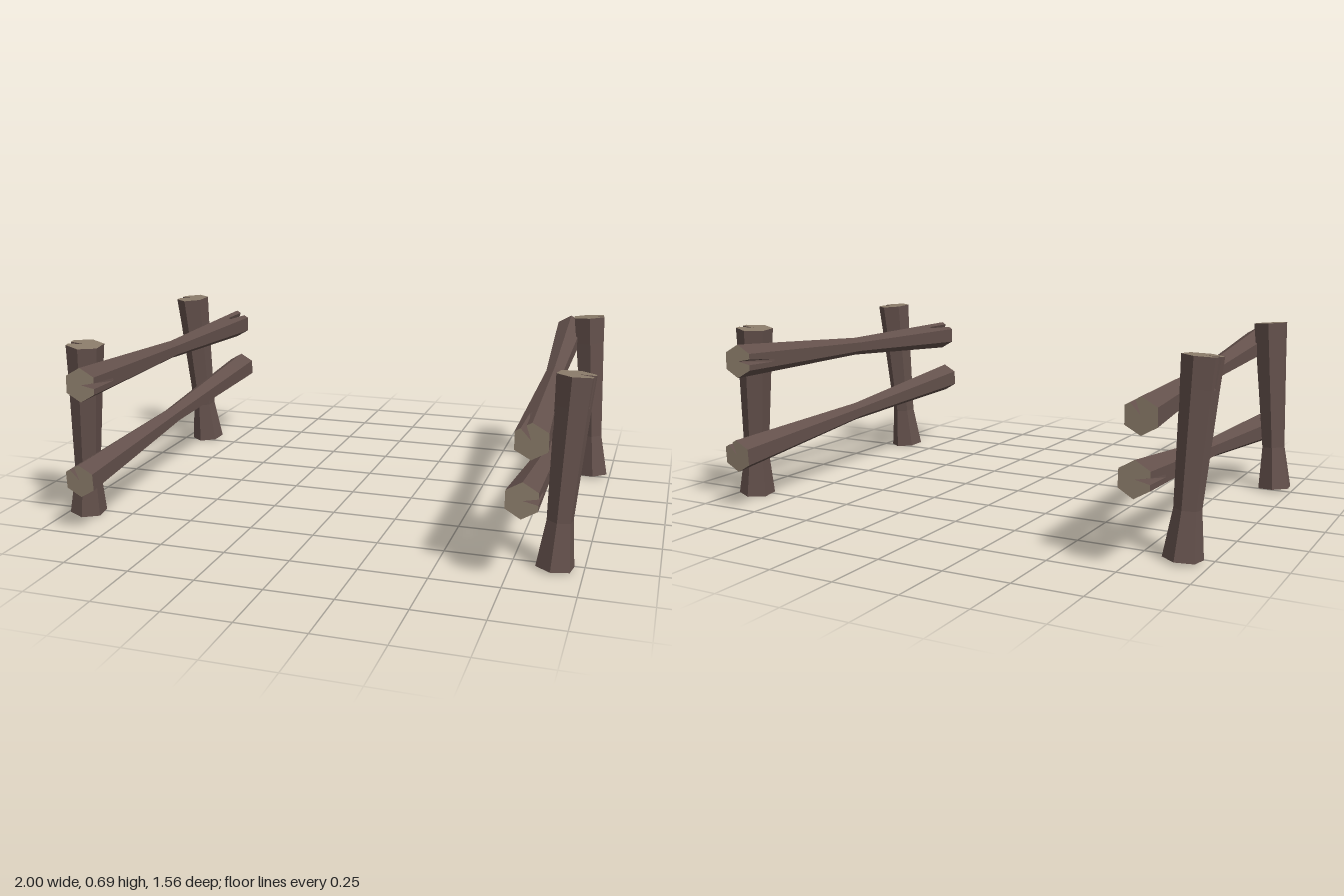
import * as THREE from 'three';

const bark = new THREE.MeshStandardMaterial({ color: 0x64514c, flatShading: true });
bark.name = 'bark';
const cutWood = new THREE.MeshStandardMaterial({ color: 0x8b7c6a, flatShading: true });
cutWood.name = 'cutWood';

const X = new THREE.Vector3(1, 0, 0), Y = new THREE.Vector3(0, 1, 0), Z = new THREE.Vector3(0, 0, 1);

// Hexagonal outline; every split edge gets three extra points, the middle one pulled inwards when open
function outline(radius, phase, splits, open) {
  const corner = i => {
    const a = phase + (i - 0.5) * Math.PI / 3;
    return new THREE.Vector2(Math.cos(a), Math.sin(a)).multiplyScalar(radius);
  };
  const points = [];
  for (let i = 0; i < 6; i++) {
    const a = corner(i), b = corner(i + 1);
    points.push(a);
    if (!splits.includes(i)) continue;
    const middle = a.clone().lerp(b, 0.5);
    if (i === open) middle.multiplyScalar(0.05);
    points.push(a.clone().lerp(b, 0.33), middle, a.clone().lerp(b, 0.67));
  }
  return points;
}

// Waisted log from start to end; stations are [fraction, radius, open split edge]
function log(name, start, end, u, v, phase, stations) {
  const axis = end.clone().sub(start).normalize();
  const splits = stations.map(s => s[2]).filter(s => s !== undefined);
  const flat = stations.map(([, r, open]) => outline(r, phase, splits, open));
  const rings = flat.map((points, i) => points.map(p => {
    const offset = u.clone().multiplyScalar(p.x).addScaledVector(v, p.y);
    offset.addScaledVector(axis, -offset.dot(axis));
    return start.clone().lerp(end, stations[i][0]).add(offset);
  }));
  const pos = [];
  const tri = (...corners) => corners.forEach(c => pos.push(c.x, c.y, c.z));

  // Bark sides
  const n = rings[0].length, last = rings.length - 1;
  for (let i = 0; i < last; i++) {
    for (let j = 0; j < n; j++) {
      const k = (j + 1) % n;
      tri(rings[i][j], rings[i][k], rings[i + 1][k]);
      tri(rings[i][j], rings[i + 1][k], rings[i + 1][j]);
    }
  }
  const sideCount = pos.length / 3;

  // Sawn ends
  for (const [a, b, c] of THREE.ShapeUtils.triangulateShape(flat[0], [])) {
    tri(rings[0][c], rings[0][b], rings[0][a]);
  }
  for (const [a, b, c] of THREE.ShapeUtils.triangulateShape(flat[last], [])) {
    tri(rings[last][a], rings[last][b], rings[last][c]);
  }

  const geometry = new THREE.BufferGeometry();
  geometry.setAttribute('position', new THREE.Float32BufferAttribute(pos, 3));
  geometry.addGroup(0, sideCount, 0);
  geometry.addGroup(sideCount, pos.length / 3 - sideCount, 1);
  geometry.computeVertexNormals();
  const mesh = new THREE.Mesh(geometry, [bark, cutWood]);
  mesh.name = name;
  return mesh;
}

// Upright post, split at the top on its outer side
function post(name, x0, z0, x1, z1, twist) {
  return log(name, new THREE.Vector3(x0, 0.004, z0), new THREE.Vector3(x1, 0.682, z1), Z, X,
    Math.PI / 6 + twist, [[0, 0.07], [0.25, 0.048], [0.84, 0.065], [1, 0.071, 1]]);
}

// Rail from back to front, split at both ends
function rail(name, back, front, backSplit, frontSplit) {
  return log(name, new THREE.Vector3(...back), new THREE.Vector3(...front), X, Y, 0, [
    [0, 0.063, backSplit], [0.1, 0.058], [0.5, 0.037], [0.9, 0.058], [1, 0.063, frontSplit],
  ]);
}

// One fence section: two leaning posts and two crossing rails
function fence(name) {
  const group = new THREE.Group();
  group.name = name;
  group.add(
    post('frontPost', 0.9, 0.535, 0.935, 0.495, -0.12),
    post('backPost', 0.925, -0.53, 0.872, -0.565, 0.12),
    rail('upperRail', [0.775, 0.582, -0.775], [0.832, 0.518, 0.768], 3, 2),
    rail('lowerRail', [0.813, 0.212, -0.76], [0.806, 0.31, 0.75], 1, 0),
  );
  return group;
}

export function createModel() {
  const model = new THREE.Group();
  model.name = 'fencePair';
  const left = fence('leftFence');
  const right = fence('rightFence');
  right.rotation.y = Math.PI;
  model.add(left, right);
  return model;
}
